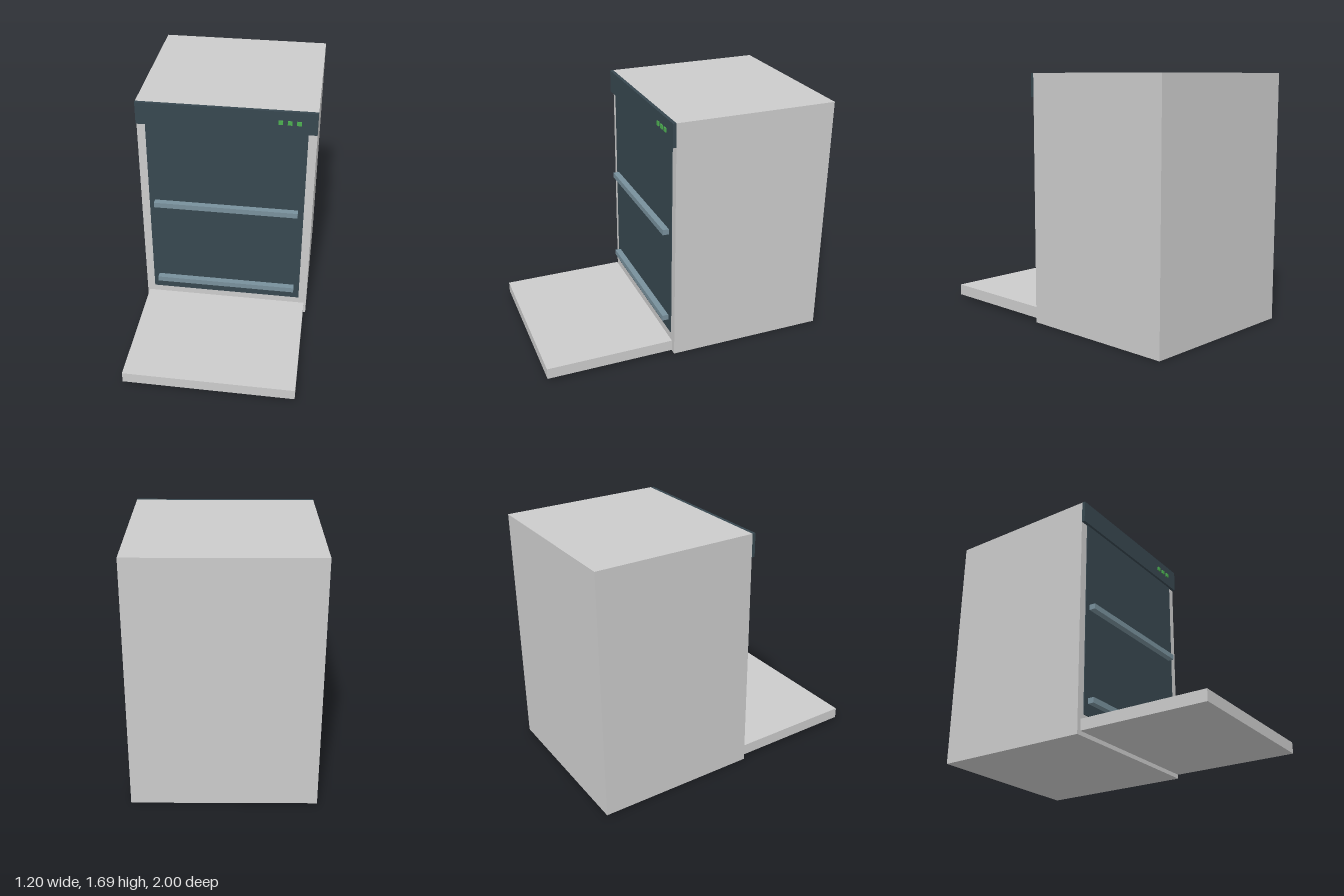
import * as THREE from 'three';

const material = (color) => new THREE.MeshStandardMaterial({ color, flatShading: true });

// Box given by its extents along each axis
function box(name, mat, [x0, x1], [y0, y1], [z0, z1]) {
  const mesh = new THREE.Mesh(new THREE.BoxGeometry(x1 - x0, y1 - y0, z1 - z0), mat);
  mesh.position.set((x0 + x1) / 2, (y0 + y1) / 2, (z0 + z1) / 2);
  mesh.name = name;
  return mesh;
}

export function createModel() {
  const model = new THREE.Group();
  model.name = 'dishwasher';

  const grey = material(0xcccccc);
  const dark = material(0x37474f);
  const steel = material(0x78909c);
  const green = material(0x4caf50);
  const front = 0.107;

  // Cabinet and the door lowered in front of it
  model.add(box('cabinet', grey, [-0.6, 0.6], [0, 1.69], [-1, front]));
  model.add(box('openDoor', grey, [-0.583, 0.583], [0.023, 0.1], [0.117, 1]));

  // Dark interior and control panel
  model.add(box('interior', dark, [-0.542, 0.542], [0.143, 1.56], [0.05, 0.113]));
  model.add(box('controlPanel', dark, [-0.6, 0.6], [1.532, 1.69], [front, 0.13]));

  // Rack fronts
  for (const [name, y] of [['lowerRack', 0.243], ['upperRack', 0.907]]) {
    model.add(box(name, steel, [-0.503, 0.503], [y - 0.019, y + 0.019], [0.1, 0.156]));
  }

  // Buttons
  const buttons = new THREE.Group();
  buttons.name = 'buttons';
  for (const x of [0.36, 0.42, 0.48]) {
    buttons.add(box('button', green, [x - 0.015, x + 0.015], [1.598, 1.626], [0.12, 0.138]));
  }
  model.add(buttons);

  return model;
}
